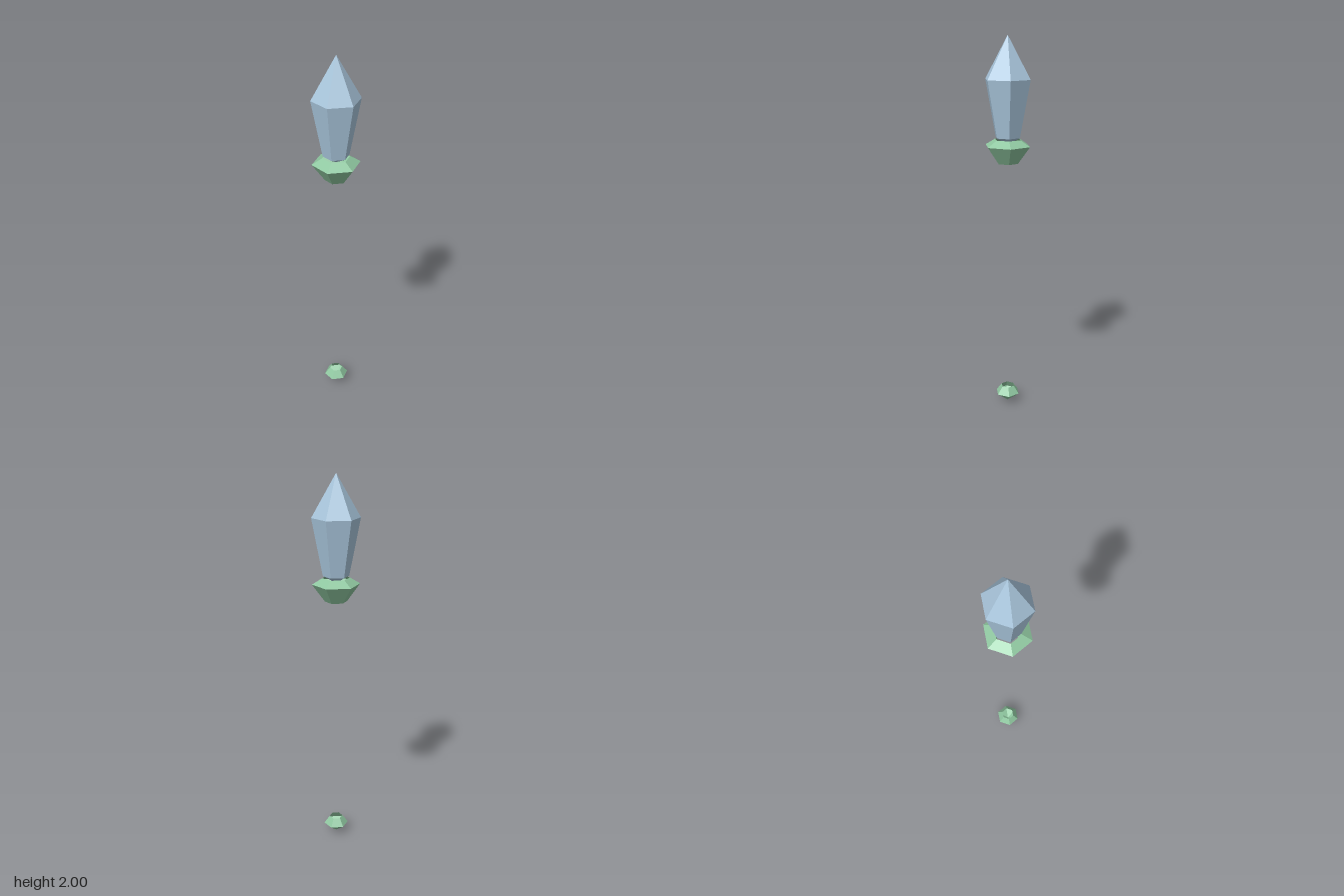
import * as THREE from 'three';

const crystalBlue = new THREE.MeshStandardMaterial({ color: 0xa9c6dc, flatShading: true });
crystalBlue.name = 'crystalBlue';
const settingGreen = new THREE.MeshStandardMaterial({ color: 0x8fc7a0, flatShading: true, side: THREE.DoubleSide });
settingGreen.name = 'settingGreen';

// Six-sided faceted body from [radius, height] rings, listed bottom to top, corners on the z axis
function hexGem(name, material, rings) {
  const profile = rings.map(([r, y]) => new THREE.Vector2(r, y));
  const geometry = new THREE.LatheGeometry(profile, 6).toNonIndexed();
  geometry.computeVertexNormals();
  const mesh = new THREE.Mesh(geometry, material);
  mesh.name = name;
  return mesh;
}

export function createModel() {
  const group = new THREE.Group();
  group.name = 'crystalStaff';

  // Tall pointed crystal, its short lower taper sits in the collar
  group.add(hexGem('crystal', crystalBlue, [[0, 1.46], [0.067, 1.497], [0.123, 1.787], [0, 2]]));

  // Faceted collar under the crystal, open at both ends
  group.add(hexGem('collar', settingGreen, [[0.057, 1.365], [0.123, 1.455], [0.07, 1.487]]));

  // Small pointed foot gem, open at the top
  group.add(hexGem('footGem', settingGreen, [[0, 0.003], [0.067, 0.055], [0.036, 0.097]]));

  return group;
}
